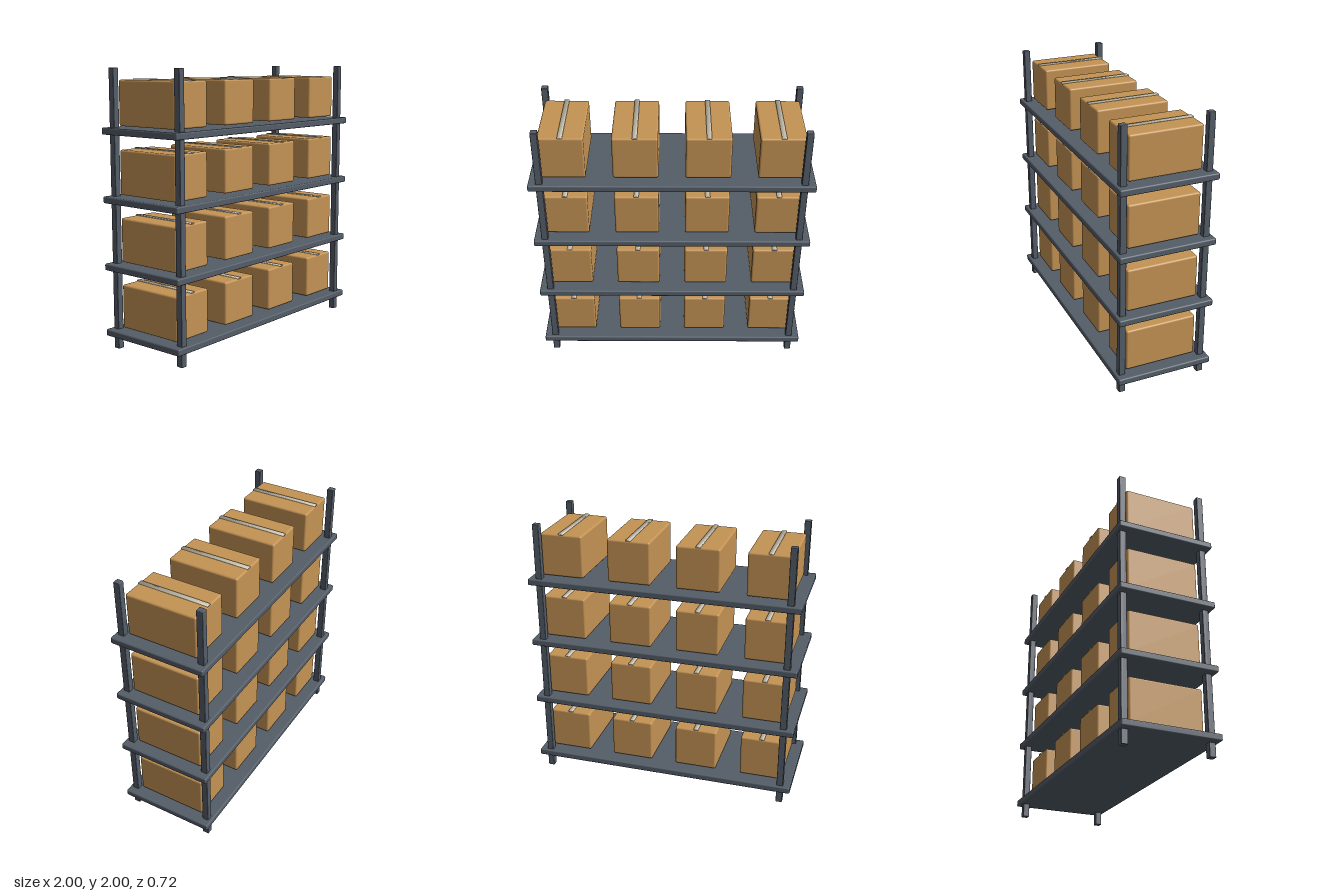
import * as THREE from 'three';
import { RoundedBoxGeometry } from 'three/addons/geometries/RoundedBoxGeometry.js';
import { mergeVertices } from 'three/addons/utils/BufferGeometryUtils.js';

const LEVELS = 4, COLUMNS = 4;
const SHELF_Y = 0.123, LEVEL_STEP = 0.481;

const material = (name, color) => {
  const m = new THREE.MeshStandardMaterial({ color });
  m.name = name;
  return m;
};

// Thin strip whose corners share one soft outward normal
function softStrip(w, h, d) {
  let g = new THREE.BoxGeometry(w, h, d);
  g.deleteAttribute('normal');
  g.deleteAttribute('uv');
  g = mergeVertices(g);
  const p = g.attributes.position;
  const normals = [];
  for (let i = 0; i < p.count; i++) {
    const n = new THREE.Vector3(Math.sign(p.getX(i)), Math.sign(p.getY(i)), Math.sign(p.getZ(i)));
    normals.push(...n.normalize().toArray());
  }
  g.setAttribute('normal', new THREE.Float32BufferAttribute(normals, 3));
  return g;
}

export function createModel() {
  const model = new THREE.Group();
  model.name = 'storageRack';

  const steel = material('darkSteel', 0x545d68);
  const cardboard = material('cardboard', 0xc49354);
  const tapeColor = material('packingTape', 0xd0c8b4);

  const postGeometry = new RoundedBoxGeometry(0.048, 2, 0.048, 2, 0.005);
  const shelfGeometry = new RoundedBoxGeometry(2, 0.048, 0.716, 2, 0.01);
  const boxGeometry = new RoundedBoxGeometry(0.318, 0.317, 0.534, 3, 0.014);
  const tapeGeometry = softStrip(0.035, 0.009, 0.53);

  const add = (parent, name, geometry, mat, x, y, z) => {
    const mesh = new THREE.Mesh(geometry, mat);
    mesh.name = name;
    mesh.position.set(x, y, z);
    parent.add(mesh);
  };

  // Four corner posts
  for (const x of [-0.921, 0.921]) {
    for (const z of [-0.31, 0.31]) add(model, 'cornerPost', postGeometry, steel, x, 1, z);
  }

  // Shelves, each carrying a row of taped boxes
  for (let level = 0; level < LEVELS; level++) {
    const y = SHELF_Y + level * LEVEL_STEP;
    add(model, 'shelf', shelfGeometry, steel, 0, y, 0);

    for (let column = 0; column < COLUMNS; column++) {
      const carton = new THREE.Group();
      carton.name = 'carton';
      carton.position.set(-0.76 + column * (1.52 / (COLUMNS - 1)), y + 0.193, 0);
      add(carton, 'cartonBody', boxGeometry, cardboard, 0, 0, 0);
      add(carton, 'tapeStrip', tapeGeometry, tapeColor, 0, 0.16, 0);
      model.add(carton);
    }
  }
  return model;
}
